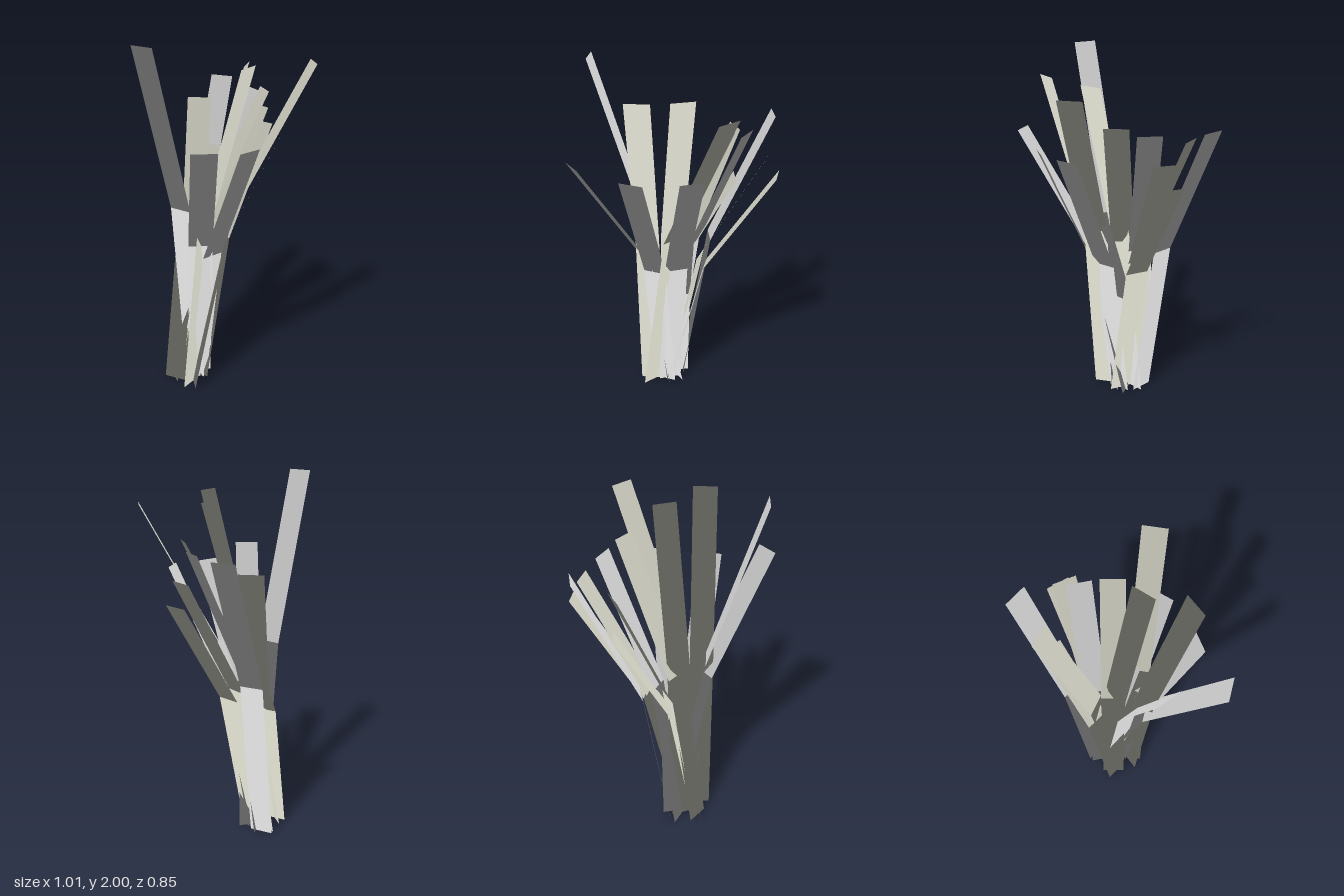
import * as THREE from 'three';

const WIDTH = 0.13;
const NORMAL_TILT = 0.3;
const grey = new THREE.MeshStandardMaterial({ color: 0xcccccc, side: THREE.DoubleSide });
const olive = new THREE.MeshStandardMaterial({ color: 0xc8c8bb, side: THREE.DoubleSide });

// Each blade: tip centre x, y, z; lean direction x, z; horizontal reach; material
const BLADES = [
  [0.408, 1.66, -0.372, 0.925, -0.38, 0.49, grey],
  [0.204, 1.57, -0.349, 0.775, -0.632, 0.43, olive],
  [0.226, 1.30, -0.289, 0.937, -0.349, 0.47, olive],
  [0.498, 1.415, -0.12, 0.996, -0.09, 0.58, olive],
  [0.446, 1.525, -0.10, 0.999, 0.045, 0.54, olive],
  [0.340, 1.65, -0.06, 0.968, 0.25, 0.46, grey],
  [0.269, 1.685, 0.092, 0.896, 0.444, 0.53, olive],
  [0.350, 1.86, 0.356, 0.82, 0.57, 0.64, olive],
  [0.163, 1.51, 0.318, 0.546, 0.838, 0.45, grey],
  [0.064, 1.86, 0.154, 0.52, 0.854, 0.345, olive],
  [-0.112, 1.895, 0.333, 0.2, 0.98, 0.365, olive],
  [-0.139, 1.49, 0.378, -0.07, 0.997, 0.42, grey],
  [-0.452, 1.55, 0.38, -0.647, 0.763, 0.62, grey],
  [-0.492, 2.0, -0.005, -0.983, 0.184, 0.40, grey],
  [0.040, 1.10, 0.085, 0.414, 0.91, 0.25, grey],
];

// Flat strip of constant width with a single bend, leaning outward more above it.
// Its normals point up and slightly outward, so each blade is shaded evenly.
function blade([x, y, z, dirX, dirZ, reach, material]) {
  const geometry = new THREE.PlaneGeometry(WIDTH, 1, 1, 2);
  const { position, normal } = geometry.attributes;
  const bend = 0.5 + 0.2 * (reach / y);
  const up = new THREE.Vector3(dirX * NORMAL_TILT, 1, dirZ * NORMAL_TILT).normalize();
  for (let i = 0; i < position.count; i++) {
    const side = position.getX(i);
    const t = [0, bend, 1][Math.round(position.getY(i) * 2 + 1)];
    const back = reach * (1 - t * t);
    position.setXYZ(i, x - dirX * back + dirZ * side, t * y, z - dirZ * back - dirX * side);
    normal.setXYZ(i, up.x, up.y, up.z);
  }
  return new THREE.Mesh(geometry, material);
}

export function createModel() {
  const tuft = new THREE.Group();
  tuft.name = 'grassTuft';
  BLADES.forEach((spec, i) => {
    const mesh = blade(spec);
    mesh.name = `blade${i + 1}`;
    tuft.add(mesh);
  });
  return tuft;
}
